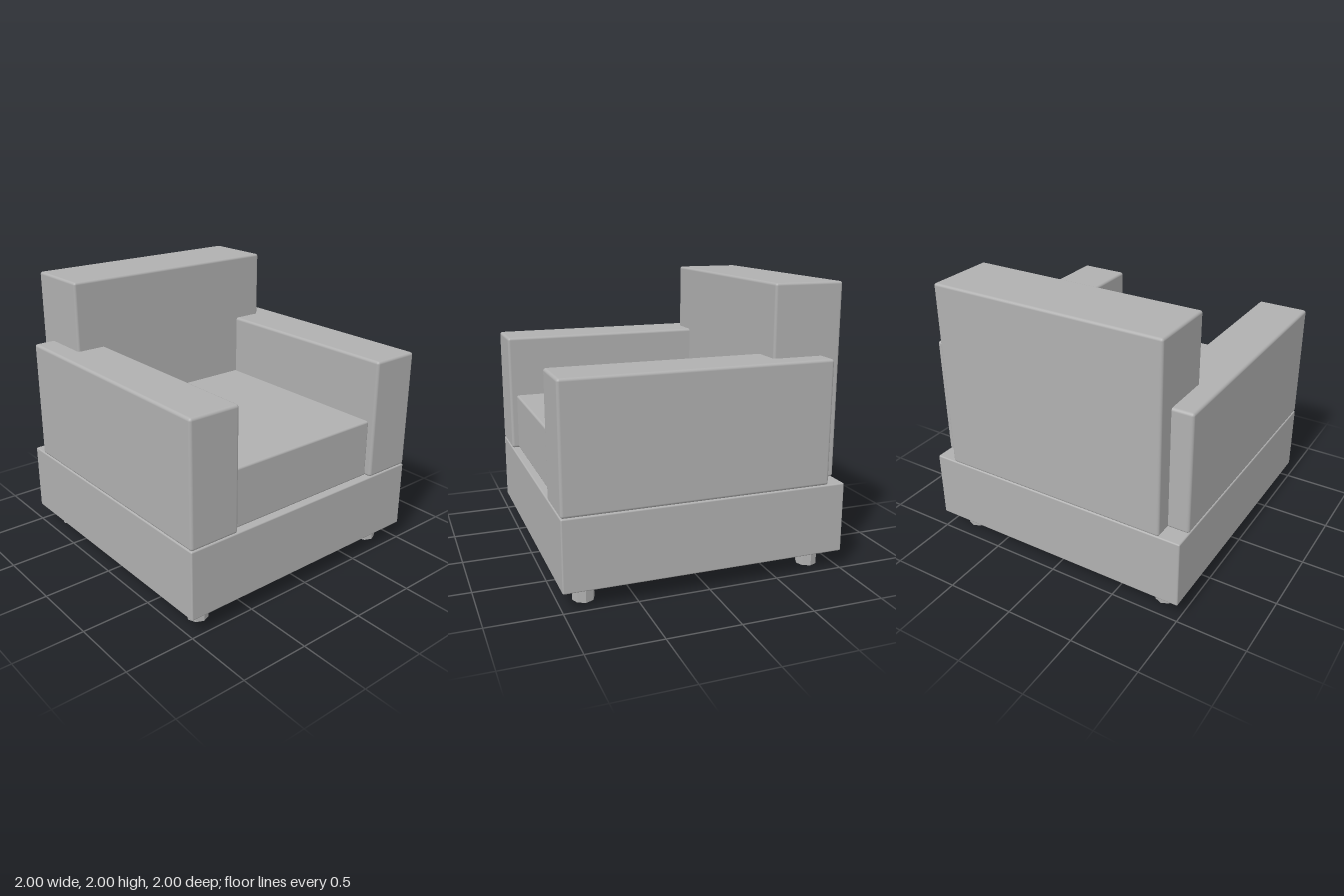
import * as THREE from 'three';
import { RoundedBoxGeometry } from 'three/addons/geometries/RoundedBoxGeometry.js';

export function createModel() {
  const model = new THREE.Group();
  model.name = 'armchair';
  const fabric = new THREE.MeshStandardMaterial({ color: 0xb0b0b0 });
  fabric.name = 'grey';

  // Softly rounded block given by its lower and upper corners
  function block(name, [x0, y0, z0], [x1, y1, z1], radius) {
    const mesh = new THREE.Mesh(
      new RoundedBoxGeometry(x1 - x0, y1 - y0, z1 - z0, 3, radius), fabric);
    mesh.position.set((x0 + x1) / 2, (y0 + y1) / 2, (z0 + z1) / 2);
    mesh.name = name;
    model.add(mesh);
  }

  block('base', [-1, 0.13, -1], [1, 0.63, 1], 0.01);
  block('seatCushion', [-0.63, 0.63, -0.52], [0.63, 1.055, 0.95], 0.015);
  block('backrest', [-0.85, 0.63, -1], [0.85, 2, -0.5], 0.018);
  block('leftArm', [0.625, 0.63, -0.875], [1, 1.505, 1], 0.02);
  block('rightArm', [-1, 0.63, -0.875], [-0.625, 1.505, 1], 0.02);

  // Eight-sided feet with flat facets
  const legGeometry = new THREE.CylinderGeometry(0.075, 0.075, 0.14, 8).toNonIndexed();
  legGeometry.computeVertexNormals();
  for (const [side, x] of [['Left', 0.825], ['Right', -0.825]]) {
    for (const [end, z] of [['front', 0.825], ['back', -0.825]]) {
      const leg = new THREE.Mesh(legGeometry, fabric);
      leg.position.set(x, 0.07, z);
      leg.name = `${end}${side}Leg`;
      model.add(leg);
    }
  }
  return model;
}
